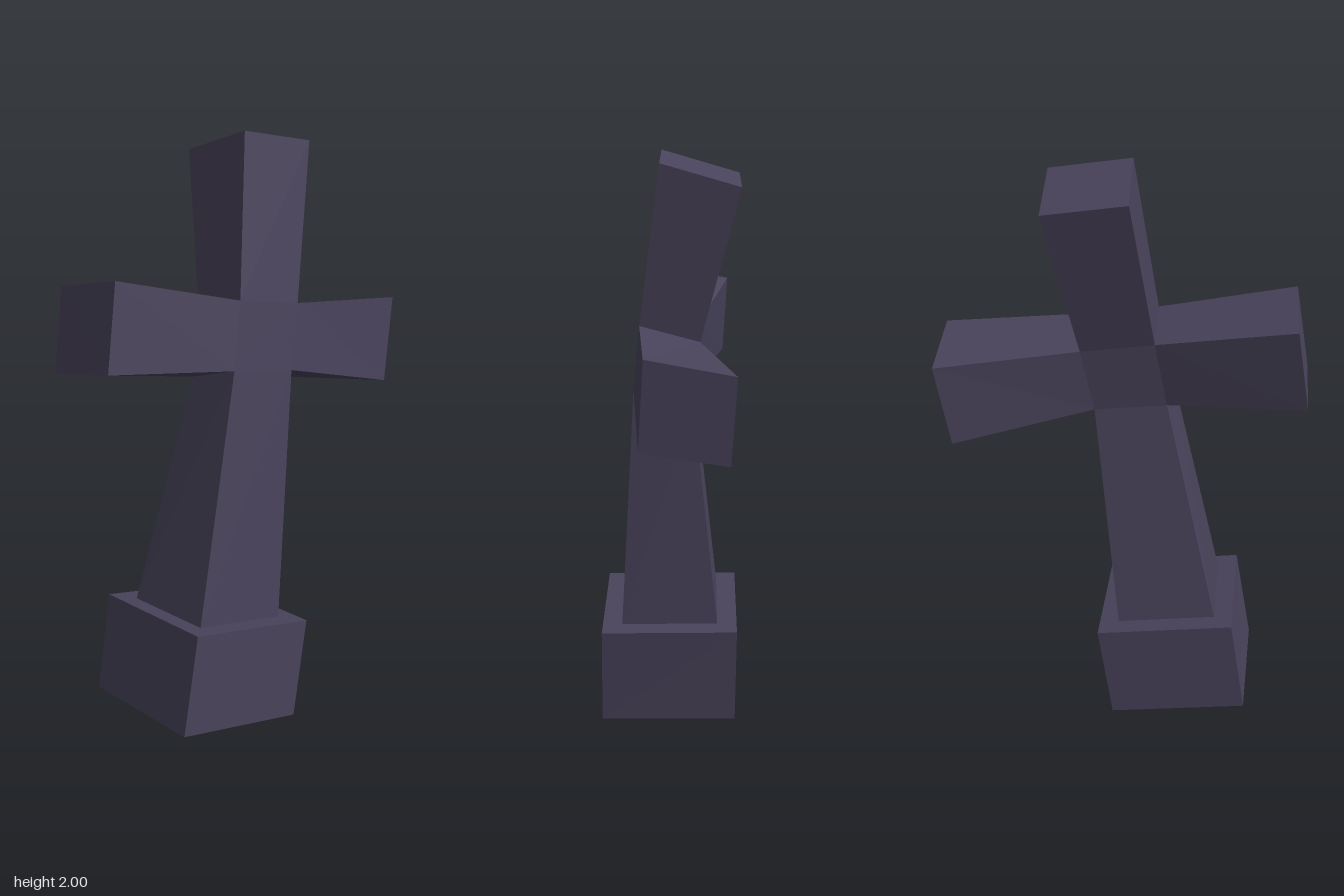
import * as THREE from 'three';

const stone = new THREE.MeshStandardMaterial({ color: 0x48425a });
stone.name = 'dark slate';

// Lofts between two four-cornered rings, each listed counter-clockwise as seen from the end ring.
function loft(name, start, end, { sides = true, startCap = false, endCap = false } = {}) {
  const pos = [];
  const quad = (a, b, c, d) => pos.push(...a, ...b, ...c, ...a, ...c, ...d);
  if (sides) {
    for (let i = 0; i < 4; i++) {
      const j = (i + 1) % 4;
      quad(start[i], start[j], end[j], end[i]);
    }
  }
  if (startCap) quad(start[3], start[2], start[1], start[0]);
  if (endCap) quad(...end);
  const geo = new THREE.BufferGeometry();
  geo.setAttribute('position', new THREE.Float32BufferAttribute(pos, 3));
  geo.computeVertexNormals();
  const mesh = new THREE.Mesh(geo, stone);
  mesh.name = name;
  return mesh;
}

export function createModel() {
  const cross = new THREE.Group();
  cross.name = 'leaningGraveCross';

  // Crossing: front corners, and the back ones set behind them by the thickness
  const thickness = [-0.153, -0.055, -0.132];
  const behind = (p) => p.map((v, i) => v + thickness[i]);
  const upL = [0.04, 1.47, 0.187], upR = [0.215, 1.43, 0.008];
  const lowL = [0.025, 1.245, 0.23], lowR = [0.2, 1.21, 0.055];
  const [bUpL, bUpR, bLowL, bLowR] = [upL, upR, lowL, lowR].map(behind);

  cross.add(loft('crossing',
    [bLowL, bLowR, bUpR, bUpL], [lowL, lowR, upR, upL],
    { sides: false, startCap: true, endCap: true }));

  // Flared arms
  cross.add(loft('topArm', [upL, upR, bUpR, bUpL],
    [[0.043, 2, 0.08], [0.24, 1.955, -0.118], [0.037, 1.88, -0.286], [-0.16, 1.925, -0.086]],
    { endCap: true }));
  cross.add(loft('rightArm', [lowL, upL, bUpL, bLowL],
    [[-0.33, 1.3, 0.54], [-0.31, 1.583, 0.493], [-0.518, 1.53, 0.315], [-0.537, 1.255, 0.357]],
    { endCap: true }));
  cross.add(loft('leftArm', [upR, lowR, bLowR, bUpR],
    [[0.535, 1.385, -0.358], [0.513, 1.09, -0.31], [0.297, 1.045, -0.495], [0.318, 1.33, -0.542]],
    { endCap: true }));

  // Tapering shaft
  cross.add(loft('shaft',
    [[-0.07, 0.411, 0.4], [0.17, 0.355, 0.157], [-0.08, 0.354, -0.068], [-0.322, 0.41, 0.175]],
    [lowL, lowR, bLowR, bLowL]));

  // Tilted base block
  cross.add(loft('base',
    [[-0.108, 0.083, 0.538], [0.23, 0.005, 0.2], [-0.117, 0, -0.122], [-0.456, 0.083, 0.213]],
    [[-0.067, 0.423, 0.493], [0.268, 0.345, 0.155], [-0.083, 0.342, -0.163], [-0.419, 0.42, 0.173]],
    { startCap: true, endCap: true }));

  return cross;
}
